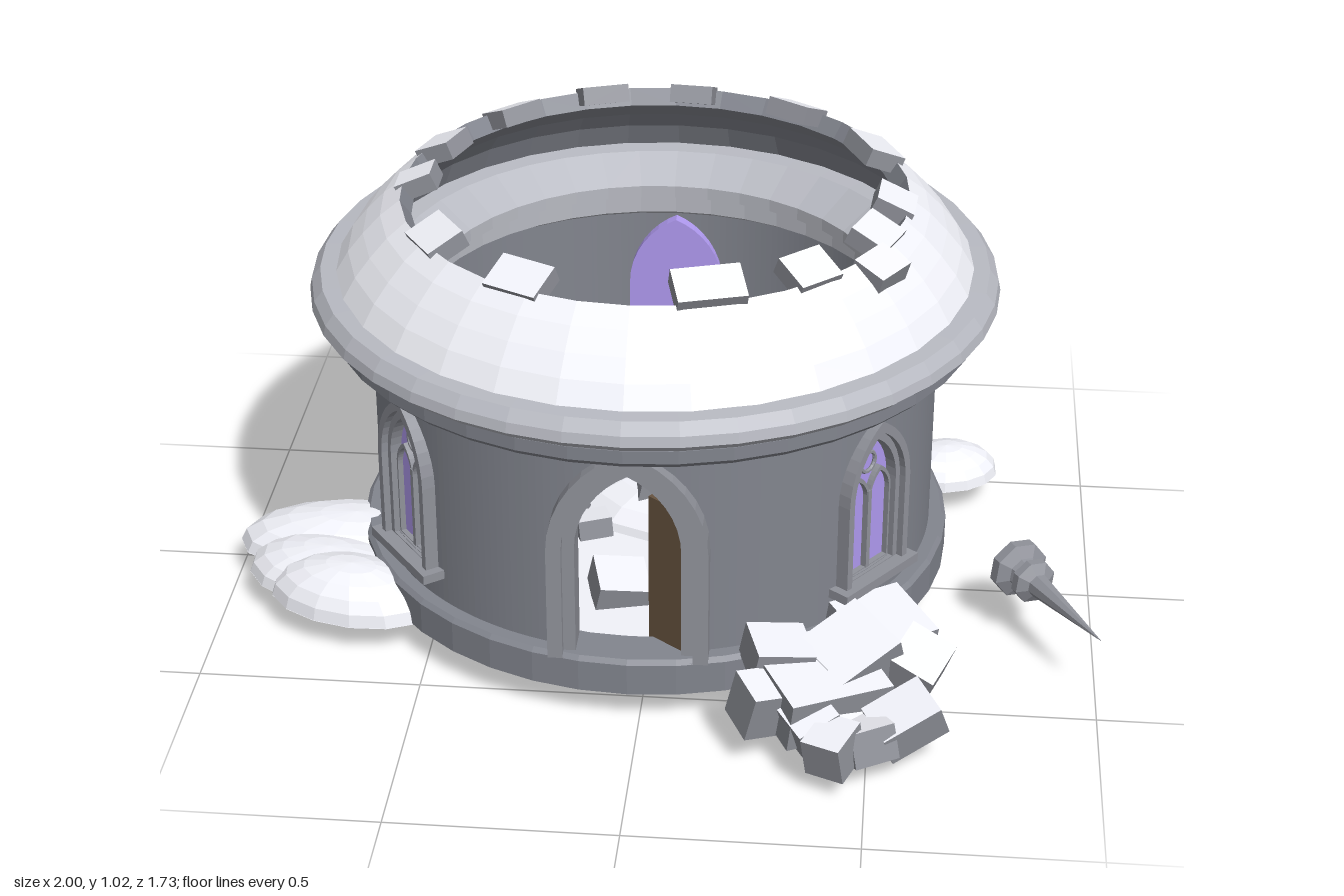
import * as THREE from 'three';

const mat = color =>
  new THREE.MeshStandardMaterial({ color, flatShading: true, side: THREE.DoubleSide });
const wallStone = mat(0x82858e), stone = mat(0x90929a), paleStone = mat(0xb8bac2);
const snow = mat(0xf2f3fa), glass = mat(0xb09af0), wood = mat(0x66533f);
// Block faces in box order: only the upper face carries snow
const snowTopped = [stone, stone, snow, stone, stone, stone];
const R = 0.645, R_IN = 0.585;

function add(parent, name, geo, material = stone, pos = [0, 0, 0], rot = [0, 0, 0]) {
  const m = new THREE.Mesh(geo, material);
  m.name = name;
  m.position.set(...pos);
  m.rotation.set(...rot);
  parent.add(m);
  return m;
}
const box = (w, h, d) => new THREE.BoxGeometry(w, h, d);
const lathe = (pts, seg = 40) =>
  new THREE.LatheGeometry(pts.map(p => new THREE.Vector2(...p)), seg);

// Height of a pointed arch at offset x from its centre line
function archY({ hw, spring, top }, x) {
  const h = top - spring, c = (h * h - hw * hw) / (2 * hw);
  return spring + Math.sqrt(Math.max(0, (c + hw) ** 2 - (Math.abs(x) + c) ** 2));
}
function archPoints(a, n = 16) {
  const pts = [new THREE.Vector2(-a.hw, a.y0)];
  for (let i = 0; i <= n; i++) {
    const x = -a.hw * Math.cos(Math.PI * i / n);
    pts.push(new THREE.Vector2(x, archY(a, x)));
  }
  pts.push(new THREE.Vector2(a.hw, a.y0));
  return pts;
}
// Extruded arch, hollow when an inner arch is given
function archGeo(outer, inner, z0, z1) {
  const s = new THREE.Shape(archPoints(outer));
  if (inner) s.holes.push(new THREE.Path(archPoints(inner)));
  return new THREE.ExtrudeGeometry(s, { depth: z1 - z0, bevelEnabled: false }).translate(0, 0, z0);
}
const arch = (hw, y0, spring, top) => ({ hw, y0, spring, top });

// Round wall in narrow columns, cut away at each opening
function wallGeo(openings, y0, y1, n = 240) {
  const pos = [];
  const quad = (r, a, b, l0, l1, h0, h1) => {
    const p = (t, y) => [r * Math.sin(t), y, r * Math.cos(t)];
    const A = p(a, l0), B = p(b, l1), C = p(b, h1), D = p(a, h0);
    pos.push(...A, ...B, ...C, ...A, ...C, ...D);
  };
  for (let i = 0; i < n; i++) {
    const a = i / n * Math.PI * 2, b = (i + 1) / n * Math.PI * 2, mid = (a + b) / 2;
    const o = openings.find(q => Math.cos(mid - q.a) > 0 && Math.abs(R * Math.sin(mid - q.a)) < q.hw);
    for (const r of [R, R_IN]) {
      if (!o) { quad(r, a, b, y0, y0, y1, y1); continue; }
      const top = t => archY(o, Math.min(o.hw, Math.abs(R * Math.sin(t - o.a))));
      quad(r, a, b, y0, y0, o.y0, o.y0);
      quad(r, a, b, top(a), top(b), y1, y1);
    }
  }
  const g = new THREE.BufferGeometry();
  g.setAttribute('position', new THREE.Float32BufferAttribute(pos, 3));
  g.computeVertexNormals();
  return g;
}

function makeWindow(angle) {
  const g = new THREE.Group();
  g.name = 'window';
  g.rotation.y = angle;
  const outer = arch(0.105, 0.24, 0.45, 0.625), mid = arch(0.088, 0.242, 0.45, 0.6);
  const inner = arch(0.074, 0.244, 0.45, 0.578);
  add(g, 'windowFrame', archGeo(outer, mid, 0.575, 0.668));
  add(g, 'windowInnerFrame', archGeo(mid, inner, 0.575, 0.652));
  add(g, 'windowGlass', archGeo(arch(0.115, 0.24, 0.45, 0.625), null, 0.555, 0.625), glass);
  add(g, 'windowSill', box(0.25, 0.022, 0.06), stone, [0, 0.231, 0.655]);
  add(g, 'windowMullion', box(0.012, 0.2, 0.016), stone, [0, 0.342, 0.632]);
  // Twin lancets with a ring above
  for (const s of [-1, 1])
    add(g, 'windowLancet', archGeo(arch(0.038, 0.244, 0.42, 0.49), arch(0.032, 0.246, 0.42, 0.478), 0.62, 0.638),
      stone, [s * 0.037, 0, 0]);
  add(g, 'windowRing', new THREE.TorusGeometry(0.024, 0.005, 6, 16), stone, [0, 0.512, 0.63]);
  return g;
}

function makeDoorway() {
  const g = new THREE.Group();
  g.name = 'doorway';
  const outer = arch(0.175, 0.15, 0.42, 0.67), mid = arch(0.142, 0.152, 0.42, 0.635);
  add(g, 'doorFrame', archGeo(outer, mid, 0.575, 0.668));
  add(g, 'doorInnerFrame', archGeo(mid, arch(0.115, 0.154, 0.42, 0.605), 0.575, 0.65));
  const hinge = new THREE.Group();
  hinge.name = 'doorLeafHinge';
  hinge.position.set(0.118, 0, 0.625);
  hinge.rotation.y = -0.65;
  add(hinge, 'doorLeaf', box(0.095, 0.36, 0.016), wood, [-0.047, 0.335, 0]);
  g.add(hinge);
  return g;
}

function makeTower() {
  const t = new THREE.Group();
  t.name = 'tower';
  t.position.set(-0.025, 0, -0.085);
  const winAngles = [0.92, -0.92, Math.PI];
  const openings = [{ a: 0, ...arch(0.14, 0.16, 0.42, 0.635) },
    ...winAngles.map(a => ({ a, ...arch(0.095, 0.245, 0.45, 0.61) }))];
  add(t, 'wall', wallGeo(openings, 0.08, 0.72), wallStone);
  add(t, 'basePlinth', lathe([[0, 0.075], [0.685, 0.075], [0.685, 0.15], [0.675, 0.16], [R_IN, 0.16]]), wallStone);
  add(t, 'floor', new THREE.CircleGeometry(0.6, 40), snow, [0, 0.085, 0], [-Math.PI / 2, 0, 0]);
  add(t, 'cornice', lathe([[0.64, 0.675], [0.725, 0.675], [0.74, 0.69], [0.74, 0.72], [0.7, 0.735]]), wallStone);
  add(t, 'roofRim', lathe([[0.7, 0.728], [0.755, 0.73], [0.78, 0.752], [0.775, 0.775], [0.755, 0.8], [0.7, 0.803]]),
    paleStone);
  add(t, 'innerCornice', lathe([[R_IN, 0.63], [0.55, 0.65], [0.55, 0.69], [0.515, 0.705], [0.515, 0.735],
    [0.6, 0.79], [0.67, 0.795]]), paleStone);
  add(t, 'brokenDome', lathe([[0.66, 0.79], [0.72, 0.80], [0.69, 0.85], [0.655, 0.893], [0.615, 0.935],
    [0.57, 0.97]], 32), snow);
  add(t, 'domeLining', lathe([[0.57, 0.97], [0.545, 0.935], [0.585, 0.895], [0.62, 0.85], [0.645, 0.79]], 32),
    wallStone);

  // Bricks left standing on the broken edge: angle, width, lift
  const bricks = [[0.3, 0.15, 0.02], [0.74, 0.11, 0.008], [1.19, 0.11, 0.004], [1.5, 0.1, 0.006], [2.02, 0.13, 0.01],
    [2.56, 0.11, 0.006], [3.06, 0.1, 0.004], [3.47, 0.11, 0.006], [3.91, 0.11, 0], [4.37, 0.1, 0.004],
    [4.71, 0.08, 0], [5.3, 0.12, 0.004], [5.82, 0.13, 0.002]];
  for (const [a, w, lift] of bricks) {
    const pivot = new THREE.Group();
    pivot.name = 'edgeBrick';
    pivot.rotation.y = a;
    add(pivot, 'brick', box(w, 0.042, 0.09), snowTopped, [0, 0.966 + lift, 0.535], [0.42, 0, 0]);
    t.add(pivot);
  }
  add(t, 'looseBrick', box(0.1, 0.05, 0.08), snowTopped, [0.51, 0.945, 0.31], [0.55, 0.9, -0.4]);

  t.add(makeDoorway(), ...winAngles.map(makeWindow));
  return t;
}

// Low snow mound: half of a squashed sphere with a flat underside
function addMound(g, x, z, rx, rz, h, turn = 0) {
  const geo = new THREE.SphereGeometry(1, 14, 5, 0, Math.PI * 2, 0, Math.PI / 2).scale(rx, h, rz);
  add(g, 'snowMound', geo, snow, [x, 0.073, z], [0, turn, 0]);
  add(g, 'snowMoundUnderside', new THREE.CircleGeometry(1, 14).rotateX(Math.PI / 2).scale(rx, 1, rz),
    snow, [x, 0.072, z], [0, turn, 0]);
}

// Fallen spire: turned collars and a long point, lying on its side
function makeSpire() {
  const s = new THREE.Group();
  s.name = 'fallenSpire';
  add(s, 'spire', lathe([[0, 0], [0.045, 0.005], [0.068, 0.02], [0.068, 0.045], [0.04, 0.06], [0.036, 0.075],
    [0.052, 0.085], [0.052, 0.105], [0.028, 0.12], [0, 0.38]], 8));
  s.position.set(0.81, 0.15, 0.1);
  s.quaternion.setFromUnitVectors(new THREE.Vector3(0, 1, 0), new THREE.Vector3(0.19, 0.008, 0.32).normalize());
  return s;
}

export function createModel() {
  const g = new THREE.Group();
  g.name = 'ruinedTower';
  g.add(makeTower(), makeSpire());

  addMound(g, -0.72, 0.04, 0.28, 0.14, 0.09);
  addMound(g, -0.76, 0.18, 0.2, 0.13, 0.08, -0.3);
  addMound(g, -0.69, 0.27, 0.2, 0.12, 0.095, -0.25);
  addMound(g, 0.66, -0.42, 0.13, 0.1, 0.075, 0.3);
  addMound(g, 0.03, -0.23, 0.27, 0.23, 0.1);

  // Rubble heap outside: x, y, z, width, height, depth, turns
  const heap = [
    [0.39, 0.13, 0.61, 0.24, 0.12, 0.22, 0.15, 0.5, -0.12], [0.52, 0.16, 0.43, 0.18, 0.09, 0.17, 0.2, 0.6, -0.15],
    [0.46, 0.18, 0.55, 0.16, 0.09, 0.16, 0.25, 0.7, 0.2],
    [0.6, 0.14, 0.53, 0.11, 0.1, 0.13, 0.2, -0.4, -0.3], [0.58, 0.11, 0.69, 0.14, 0.08, 0.11, 0.2, 0.5, 0.3],
    [0.43, 0.1, 0.79, 0.09, 0.09, 0.1, 0.2, -0.45, 0.15], [0.5, 0.09, 0.74, 0.1, 0.08, 0.1, -0.3, 0.4, 0.2],
    [0.28, 0.13, 0.68, 0.12, 0.11, 0.1, 0.2, 0.5, -0.25], [0.47, 0.08, 0.64, 0.14, 0.1, 0.13, 0.3, 0.3, -0.3],
    [0.38, 0.11, 0.72, 0.1, 0.09, 0.1, 0.25, 0.6, 0.2], [0.3, 0.18, 0.57, 0.13, 0.08, 0.12, 0.1, 0.3, -0.2]];
  for (const [x, y, z, w, h, d, ...rot] of heap) add(g, 'rubbleBlock', box(w, h, d), snowTopped, [x, y, z], rot);

  // Fallen blocks on the floor: x, z, size, turn, height
  const floor = [
    [-0.28, -0.42, 0.11, 0.4, 0.11], [-0.31, -0.32, 0.09, 0.3, 0.11], [-0.16, -0.52, 0.07, 0.7, 0.1],
    [-0.13, -0.37, 0.1, 0.1, 0.15], [0.19, -0.4, 0.13, -0.1, 0.14], [0.38, -0.2, 0.12, 0.2, 0.12],
    [-0.31, -0.06, 0.1, 0.5, 0.11], [-0.24, -0.12, 0.08, 0.9, 0.1], [-0.17, -0.04, 0.08, 0.3, 0.11],
    [-0.03, -0.15, 0.09, 0.2, 0.15], [0.24, -0.07, 0.08, 0.8, 0.11], [0.06, 0.12, 0.1, 0.1, 0.11],
    [0.19, 0.07, 0.12, -0.1, 0.12], [-0.08, 0.22, 0.12, 0.25, 0.11]];
  floor.forEach(([x, z, s, turn, y], i) => add(g, 'floorBlock', box(s, s * 0.6, s), snowTopped, [x, y, z],
    [0.22 * Math.sin(i * 2.1), turn, 0.22 * Math.cos(i * 1.7)]));
  return g;
}
